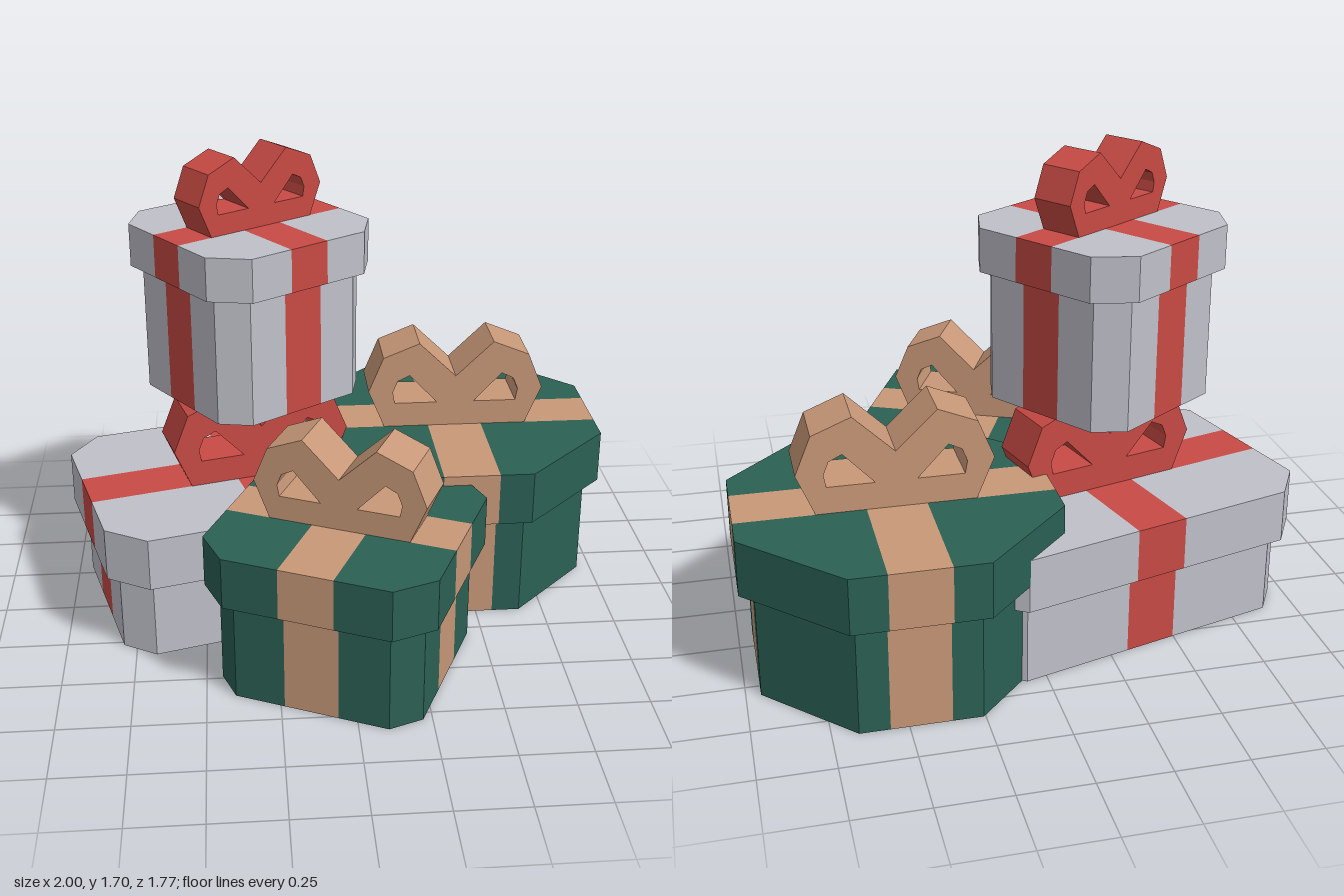
import * as THREE from 'three';
import { mergeGeometries } from 'three/addons/utils/BufferGeometryUtils.js';

const mat = (name, color) => {
  const m = new THREE.MeshStandardMaterial({ color });
  m.name = name;
  return m;
};

const mesh = (name, geometry, material) => {
  const m = new THREE.Mesh(geometry, material);
  m.name = name;
  return m;
};

const polygon = (pts) => new THREE.Shape(pts.map(([x, y]) => new THREE.Vector2(x, y)));

// One quadrant mirrored into a full counter-clockwise loop
function mirrorQuadrant(q) {
  const flip = (pts, sx, sy) => pts.map(([x, y]) => [x * sx, y * sy]);
  const r = [...q].reverse();
  return [...q, ...flip(r, -1, 1), ...flip(q, -1, -1), ...flip(r, 1, -1)];
}

// Octagonal outline: half sizes hx, hz and corner cut c
const octagon = ({ hx, hz, c }) => mirrorQuadrant([[hx, hz - c], [hx - c, hz]]);

// Flat face at height y, turned up or down
function cap(shape, y, up = true) {
  return new THREE.ShapeGeometry(shape).rotateX(up ? -Math.PI / 2 : Math.PI / 2).translate(0, y, 0);
}

// Side walls, split into paper and ribbon strips of half width w
function walls({ hx, hz, c }, w, y0, y1) {
  const ring = mirrorQuadrant([[hx, w], [hx, hz - c], [hx - c, hz], [w, hz]]);
  const paper = [], ribbon = [];
  ring.forEach(([ax, az], i) => {
    const [bx, bz] = ring[(i + 1) % ring.length];
    const target = i % 4 === 3 ? ribbon : paper;
    target.push(ax, y0, az, ax, y1, az, bx, y1, bz, ax, y0, az, bx, y1, bz, bx, y0, bz);
  });
  return [paper, ribbon].map((p) => {
    const g = new THREE.BufferGeometry();
    g.setAttribute('position', new THREE.Float32BufferAttribute(p, 3));
    g.computeVertexNormals();
    return g;
  });
}

// Strip to plain positions and normals so pieces can be merged
function merge(list) {
  return mergeGeometries(list.map((g) => {
    const n = g.index ? g.toNonIndexed() : g;
    n.deleteAttribute('uv');
    return n;
  }));
}

// Two-loop bow, scaled by s
function bowGeometry(s, depth) {
  const half = [[0.27, 0], [0.33, 0.145], [0.275, 0.28], [0.14, 0.335]];
  const hole = [[0.07, 0.095], [0.23, 0.095], [0.238, 0.14], [0.22, 0.185], [0.175, 0.207]];
  const mirror = (pts) => pts.map(([x, y]) => [-x, y]).reverse();
  const scale = (pts) => pts.map(([x, y]) => [x * s, y * s]);
  const shape = polygon(scale([...half, [0, 0.2], ...mirror(half)]));
  shape.holes.push(polygon(scale(hole)), polygon(scale(mirror(hole))));
  return new THREE.ExtrudeGeometry(shape, { depth, bevelEnabled: false }).translate(0, 0, -depth / 2);
}

function gift(o) {
  const g = new THREE.Group();
  g.name = o.name;
  const w = o.ribbonWidth / 2;
  const lid = { hx: o.hx, hz: o.hz, c: o.c };
  const body = { hx: o.hx - o.inset, hz: o.hz - o.inset, c: o.c - 0.586 * o.inset };

  // Body
  const [bodyPaper, bodyRibbon] = walls(body, w, 0, o.lidY);
  g.add(mesh('boxBody', merge([bodyPaper, cap(polygon(octagon(body)), 0, false)]), o.paper));
  g.add(mesh('bodyRibbon', bodyRibbon, o.ribbon));

  // Lid: walls, four top corners, ledge underneath
  const [lidPaper, lidRibbon] = walls(lid, w, o.lidY, o.height);
  const ledge = polygon(octagon(lid));
  ledge.holes.push(polygon(octagon(body)));
  const { hx, hz, c } = lid;
  const corner = [[w, w], [hx, w], [hx, hz - c], [hx - c, hz], [w, hz]];
  const corners = [[1, 1], [-1, 1], [-1, -1], [1, -1]].map(([sx, sz]) =>
    cap(polygon(corner.map(([x, z]) => [x * sx, z * sz])), o.height));
  g.add(mesh('lid', merge([lidPaper, cap(ledge, o.lidY, false), ...corners]), o.paper));

  // Crossed ribbon over the lid
  const cross = polygon(mirrorQuadrant([[hx, w], [w, w], [w, hz]]));
  g.add(mesh('lidRibbon', merge([lidRibbon, cap(cross, o.height)]), o.ribbon));

  // Bow
  const bow = mesh('bow', bowGeometry(o.bow, o.ribbonWidth), o.ribbon);
  bow.position.y = o.height;
  g.add(bow);

  g.position.set(...o.at);
  g.rotation.y = o.turn;
  return g;
}

export function createModel() {
  const green = mat('greenPaper', 0x2b6054);
  const silver = mat('silverPaper', 0xc0c0ca);
  const tan = mat('tanRibbon', 0xc89878);
  const red = mat('redRibbon', 0xc84a44);

  const model = new THREE.Group();
  model.name = 'giftPile';
  model.add(
    gift({ name: 'largeGreenGift', paper: green, ribbon: tan, at: [0.46, 0, -0.35], turn: 0,
      hx: 0.54, hz: 0.54, c: 0.316, inset: 0.05, lidY: 0.395, height: 0.592, ribbonWidth: 0.203, bow: 1 }),
    gift({ name: 'smallGreenGift', paper: green, ribbon: tan, at: [0, 0, 0.388], turn: -0.426,
      hx: 0.411, hz: 0.411, c: 0.117, inset: 0.047, lidY: 0.373, height: 0.557, ribbonWidth: 0.192, bow: 0.93 }),
    gift({ name: 'lowSilverGift', paper: silver, ribbon: red, at: [-0.303, 0, -0.172], turn: 0.267,
      hx: 0.64, hz: 0.438, c: 0.125, inset: 0.047, lidY: 0.298, height: 0.49, ribbonWidth: 0.19, bow: 1 }),
    gift({ name: 'tallSilverGift', paper: silver, ribbon: red, at: [-0.304, 0.826, -0.172], turn: 0.6,
      hx: 0.347, hz: 0.347, c: 0.11, inset: 0.04, lidY: 0.462, height: 0.615, ribbonWidth: 0.152, bow: 0.78 }),
  );
  return model;
}
